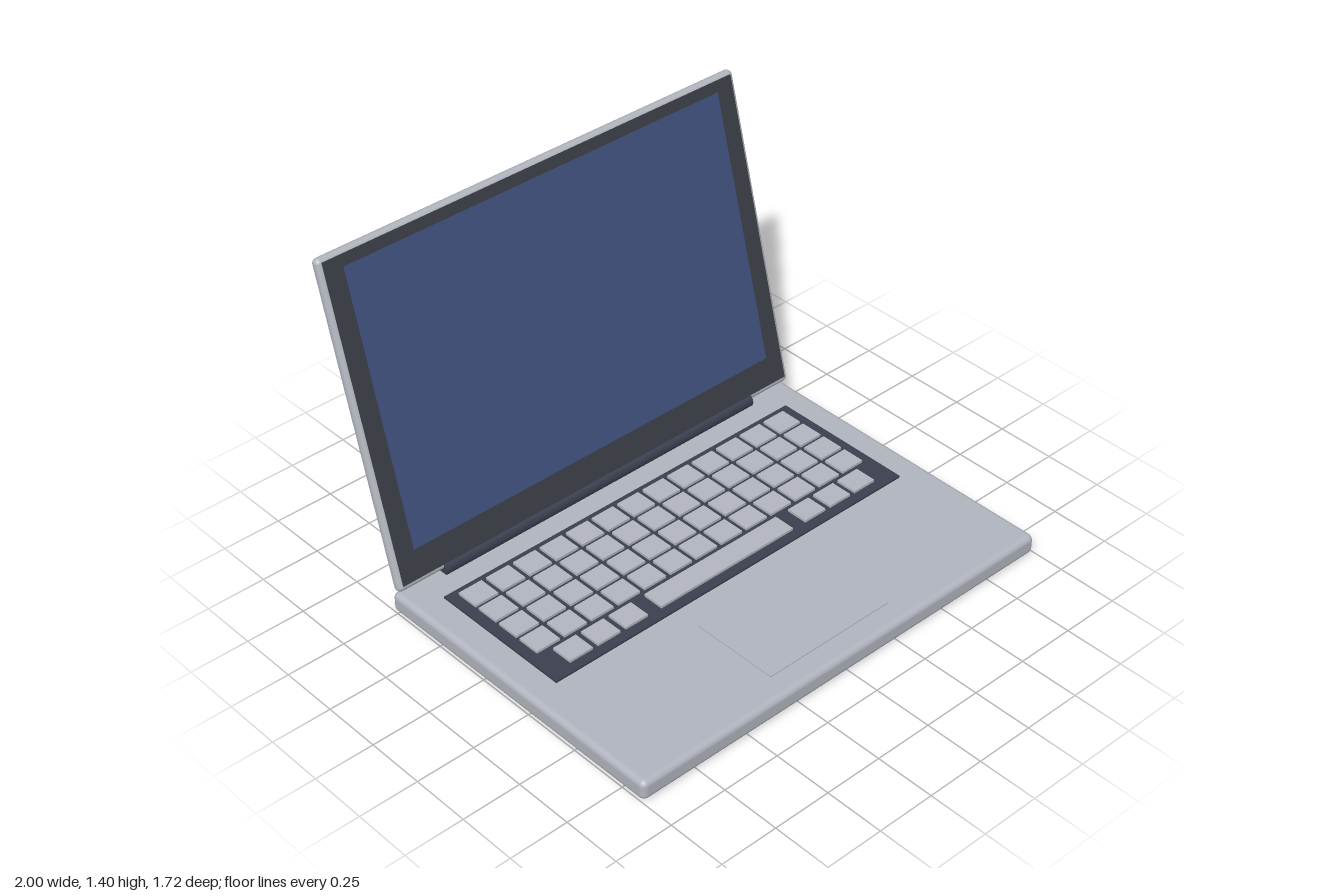
import * as THREE from 'three';
import { RoundedBoxGeometry } from 'three/addons/geometries/RoundedBoxGeometry.js';

export function createModel() {
  const model = new THREE.Group();
  model.name = 'laptop';

  const material = (name, color) => {
    const m = new THREE.MeshStandardMaterial({ color });
    m.name = name;
    return m;
  };
  const aluminium = material('aluminium', 0xb0b4bd);
  const keyGrey = material('key grey', 0xb2b5be);
  const charcoal = material('charcoal', 0x3a3f4f);
  const bezelBlack = material('bezel black', 0x3a3d47);
  const screenBlue = material('screen blue', 0x40507c);

  const add = (parent, name, geometry, mat, x, y, z) => {
    const mesh = new THREE.Mesh(geometry, mat);
    mesh.name = name;
    mesh.position.set(x, y, z);
    parent.add(mesh);
    return mesh;
  };
  const box = (w, h, d) => new THREE.BoxGeometry(w, h, d);

  // Lower body
  const top = 0.086;
  add(model, 'base', new RoundedBoxGeometry(2, top, 1.39, 4, 0.025), aluminium, 0, top / 2, 0.165);
  add(model, 'trackpad', box(0.6, 0.008, 0.38), aluminium, 0, top, 0.57);

  // Keyboard tray and keys
  const keyboard = new THREE.Group();
  keyboard.name = 'keyboard';
  model.add(keyboard);
  add(keyboard, 'keyTray', box(1.76, 0.012, 0.635), charcoal, 0, top + 0.002, -0.052);
  const key = (name, x, z, w, d) => add(keyboard, name, box(w, 0.014, d), keyGrey, x, top + 0.012, z);
  for (let row = 0; row < 4; row++) {
    for (let col = 0; col < 13; col++) {
      key('key', (col - 6) * 0.13, -0.291 + row * 0.116, 0.108, 0.098);
    }
  }
  for (const side of [-1, 1]) {
    for (const x of [0.458, 0.592, 0.725]) key('modifierKey', side * x, 0.177, 0.108, 0.094);
  }
  key('spaceBar', 0, 0.177, 0.675, 0.094);

  // Hinge barrel
  const hinge = add(model, 'hinge', new THREE.CylinderGeometry(0.033, 0.033, 1.58, 24),
    charcoal, 0, 0.102, -0.497);
  hinge.rotation.z = Math.PI / 2;

  // Lid, leaning back, with bezel and display on its front
  const lid = new THREE.Group();
  lid.name = 'lid';
  lid.position.set(0, 0.75, -0.67);
  lid.rotation.x = -THREE.MathUtils.degToRad(15);
  model.add(lid);
  add(lid, 'lidShell', new RoundedBoxGeometry(2, 1.344, 0.044, 4, 0.021), aluminium, 0, 0, 0);
  add(lid, 'bezel', box(1.96, 1.304, 0.008), bezelBlack, 0, 0.004, 0.021);
  add(lid, 'display', box(1.8, 1.139, 0.004), screenBlue, 0, 0.04, 0.0255);

  return model;
}
